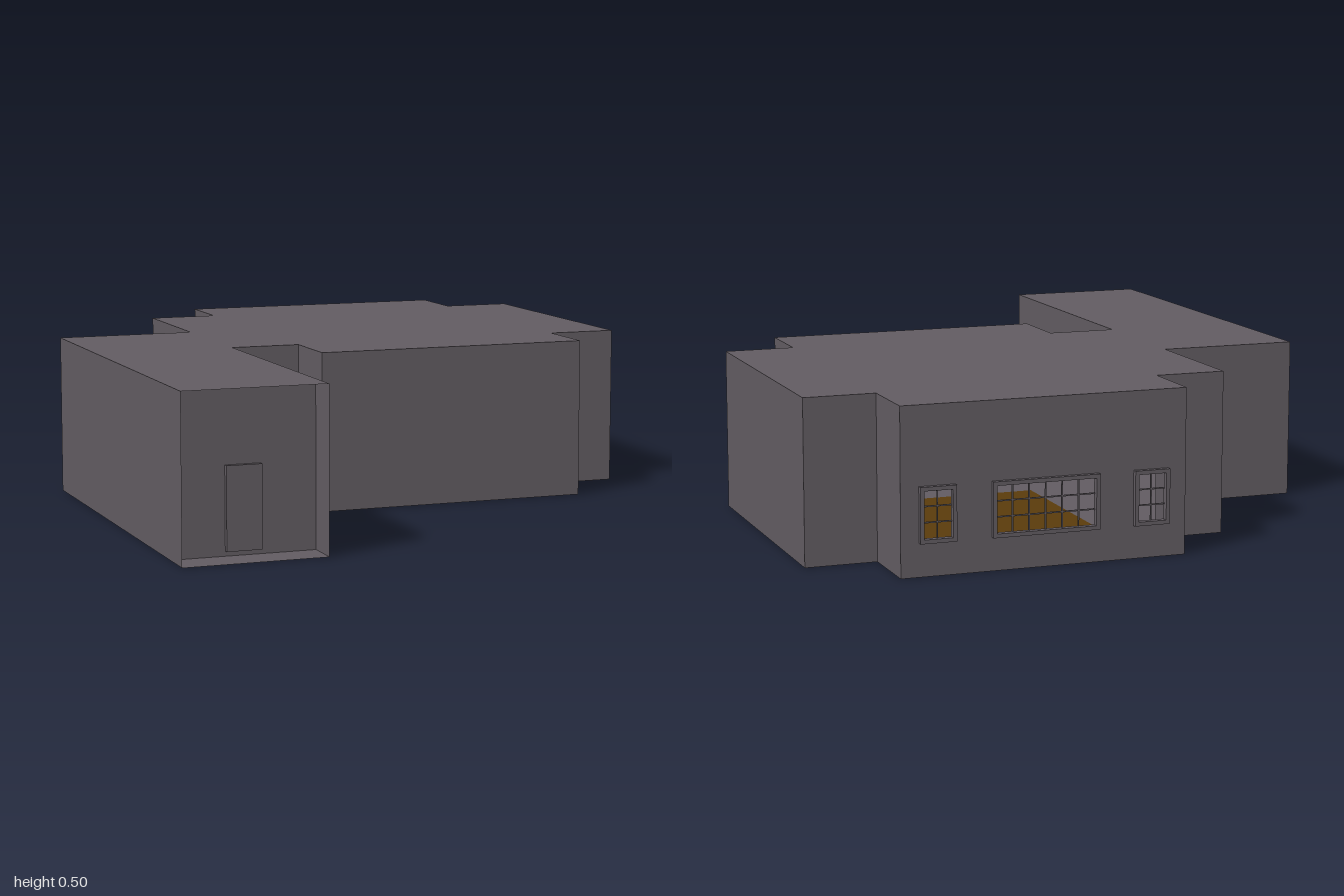
import * as THREE from 'three';

const H = 0.5, BACK = -0.985, ALCOVE = 0.885;
const wallMat = new THREE.MeshStandardMaterial({ color: 0x625c62, side: THREE.DoubleSide });
const floorMat = new THREE.MeshStandardMaterial({ color: 0x5a3c0c, side: THREE.DoubleSide });

// Footprint corners as [x, z]
const outline = [
  [-0.22, BACK], [0.66, BACK], [0.66, -0.765], [0.88, -0.765], [0.88, 0.115], [0.66, 0.115],
  [0.66, 0.335], [-0.22, 0.335], [-0.22, 0.115], [-0.44, 0.115], [-0.44, 1], [-0.88, 1],
  [-0.88, -0.325], [-0.44, -0.325], [-0.44, -0.765], [-0.22, -0.765],
];

// Back windows: centre x, width, pane columns
const windows = [[-0.11, 0.11, 2], [0.22, 0.33, 6], [0.55, 0.11, 2]];
const WIN_Y = 0.182, WIN_H = 0.165, FRAME = 0.012;

const toPath = (pts, Type = THREE.Path) => new Type(pts.map(([a, b]) => new THREE.Vector2(a, b)));
const rect = (cx, cy, w, h) => [
  [cx - w / 2, cy - h / 2], [cx - w / 2, cy + h / 2], [cx + w / 2, cy + h / 2], [cx + w / 2, cy - h / 2],
];

function add(parent, name, geometry, material, x = 0, y = 0, z = 0) {
  const mesh = new THREE.Mesh(geometry, material);
  mesh.name = name;
  mesh.position.set(x, y, z);
  parent.add(mesh);
  return mesh;
}

// Framed opening with thin glazing bars
function makeWindow(cx, w, cols) {
  const g = new THREE.Group();
  g.name = 'window';
  const shape = toPath(rect(0, 0, w, WIN_H), THREE.Shape);
  const iw = w - 2 * FRAME, ih = WIN_H - 2 * FRAME;
  shape.holes.push(toPath(rect(0, 0, iw, ih)));
  add(g, 'windowFrame', new THREE.ExtrudeGeometry(shape, { depth: 0.02, bevelEnabled: false }), wallMat, 0, 0, -0.015);
  for (let i = 1; i < cols; i++)
    add(g, 'verticalBar', new THREE.BoxGeometry(0.004, ih, 0.004), wallMat, -iw / 2 + (iw * i) / cols);
  for (let j = 1; j < 3; j++)
    add(g, 'horizontalBar', new THREE.BoxGeometry(iw, 0.004, 0.004), wallMat, 0, -ih / 2 + (ih * j) / 3);
  g.position.set(cx, WIN_Y, BACK);
  return g;
}

export function createModel() {
  const model = new THREE.Group();
  model.name = 'building';

  // Roof, floor and inlaid wooden floor
  const plan = toPath(outline, THREE.Shape);
  add(model, 'roof', new THREE.ShapeGeometry(plan).rotateX(Math.PI / 2), wallMat, 0, H, 0);
  const floorPlan = toPath(outline, THREE.Shape);
  floorPlan.holes.push(toPath(rect(0.22, -0.325, 0.66, 0.66)));
  add(model, 'floor', new THREE.ShapeGeometry(floorPlan).rotateX(Math.PI / 2), wallMat);
  add(model, 'woodenFloor', new THREE.PlaneGeometry(0.66, 0.66).rotateX(-Math.PI / 2), floorMat, 0.22, 0, -0.325);

  // Plain walls around the footprint; the back wall and the open porch are skipped
  outline.forEach(([x0, z0], i) => {
    const [x1, z1] = outline[(i + 1) % outline.length];
    if (z0 === z1 && (z0 === BACK || z0 === 1)) return;
    const dx = x1 - x0, dz = z1 - z0;
    const wall = add(model, 'wall', new THREE.PlaneGeometry(Math.hypot(dx, dz), H), wallMat,
      (x0 + x1) / 2, H / 2, (z0 + z1) / 2);
    wall.rotation.y = Math.atan2(dz, -dx);
  });

  // Back wall with window openings
  const backShape = toPath(rect(0.22, H / 2, 0.88, H), THREE.Shape);
  for (const [cx, w, cols] of windows) {
    backShape.holes.push(toPath(rect(cx, WIN_Y, w - FRAME, WIN_H - FRAME)));
    model.add(makeWindow(cx, w, cols));
  }
  add(model, 'backWall', new THREE.ShapeGeometry(backShape), wallMat, 0, 0, BACK);

  // Porch wall and entrance door at the end of the corridor
  add(model, 'porchWall', new THREE.PlaneGeometry(0.44, H), wallMat, -0.66, H / 2, ALCOVE);
  add(model, 'door', new THREE.BoxGeometry(0.108, 0.25, 0.03), wallMat, -0.662, 0.14, ALCOVE);

  return model;
}
